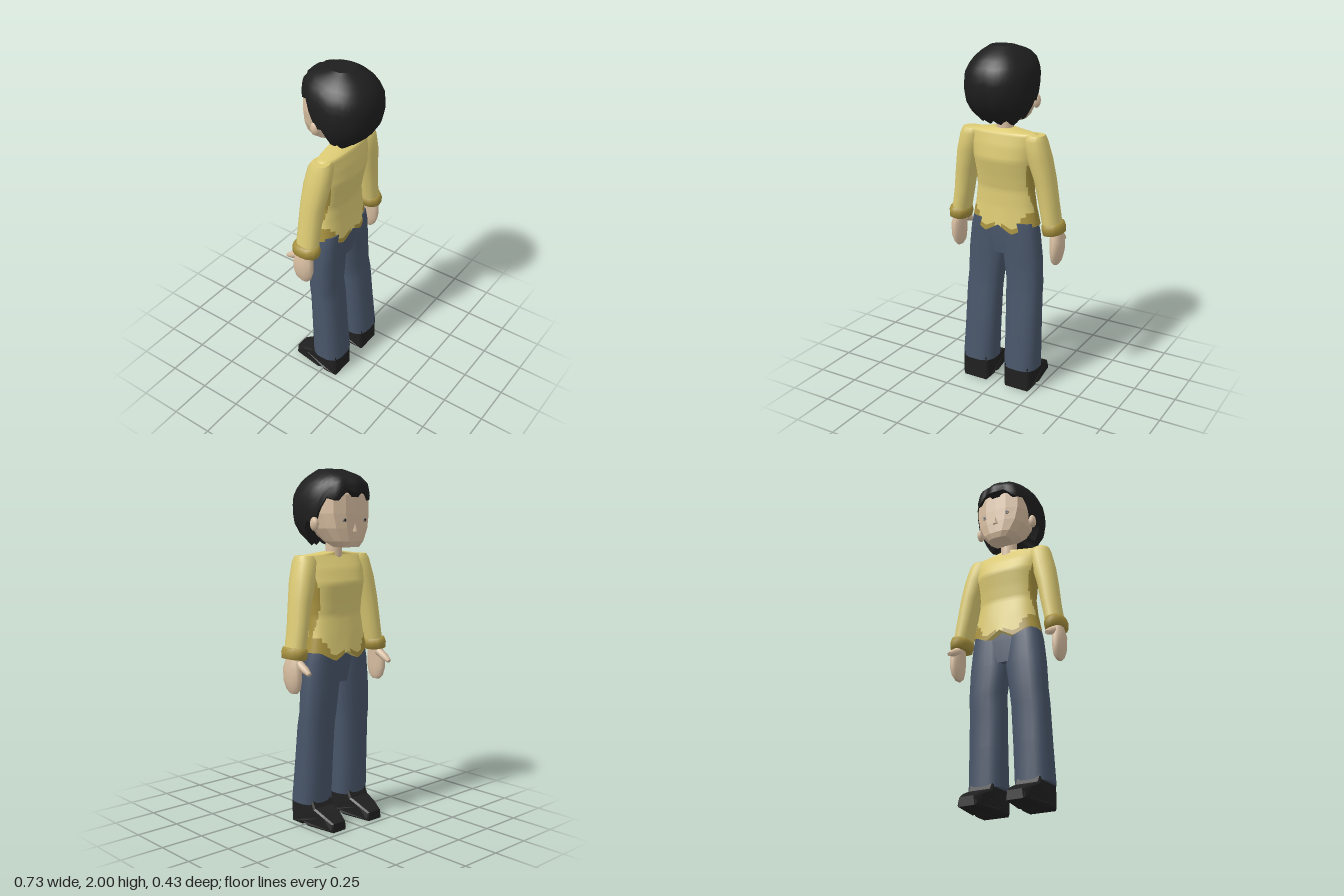
import * as THREE from 'three';

const mat = (name, color, side = THREE.FrontSide) => {
  const m = new THREE.MeshStandardMaterial({ color, side });
  m.name = name;
  return m;
};

// closed tube of rows x cols; point(a, row) gives the surface, pick chooses a material slot per quad
function skin(cols, rows, point, { pick = () => 0, caps = true, flat = false } = {}) {
  const pos = [], index = [[], []], grid = [];
  const add = (p) => pos.push(p.x, p.y, p.z) / 3 - 1;
  for (let r = 0; r < rows; r++) {
    grid.push([]);
    for (let c = 0; c < cols; c++) grid[r].push(point((c / cols) * Math.PI * 2, r));
  }
  grid.forEach((row) => row.forEach(add));
  for (let r = 0; r < rows - 1; r++) {
    for (let c = 0; c < cols; c++) {
      const d = (c + 1) % cols;
      const mid = grid[r][c].clone().add(grid[r + 1][d]).multiplyScalar(0.5);
      const i = r * cols + c, j = r * cols + d;
      index[pick(mid, ((c + 0.5) / cols) * Math.PI * 2)].push(i, j, j + cols, i, j + cols, i + cols);
    }
  }
  if (caps) {
    [0, rows - 1].forEach((r) => {
      const centre = grid[r].reduce((s, p) => s.add(p), new THREE.Vector3()).divideScalar(cols);
      const m = add(centre), ring = grid[r].map(add);
      ring.forEach((v, c) => {
        const w = ring[(c + 1) % cols];
        index[0].push(m, ...(r ? [v, w] : [w, v]));
      });
    });
  }
  const g = new THREE.BufferGeometry();
  g.setAttribute('position', new THREE.Float32BufferAttribute(pos, 3));
  g.setIndex([...index[0], ...index[1]]);
  if (index[1].length) {
    g.addGroup(0, index[0].length, 0);
    g.addGroup(index[0].length, index[1].length, 1);
  }
  const out = flat ? g.toNonIndexed() : g;
  out.computeVertexNormals();
  return out;
}

// rounded-square cross-section; ring = [y, centre x, half width, back z, front z]
function section([y, cx, rx, zb, zf], a, power) {
  const s = Math.sin(a), c = Math.cos(a);
  const k = (Math.abs(s) ** power + Math.abs(c) ** power) ** (-1 / power);
  return new THREE.Vector3(cx + rx * s * k, y, (zb + zf) / 2 + ((zb - zf) / 2) * c * k);
}

const mixRings = (p, q, t) => p.map((v, i) => v + (q[i] - v) * t);

function loft(rings, cols, { power = 2.4, steps = 1, warp = (v) => v, ...opts } = {}) {
  const rows = (rings.length - 1) * steps + 1;
  return skin(cols, rows, (a, r) => {
    const i = Math.min(Math.floor(r / steps), rings.length - 2);
    return warp(section(mixRings(rings[i], rings[i + 1], r / steps - i), a, power), a);
  }, opts);
}

// piecewise linear lookup in [key, value] pairs
function lookup(keys, x) {
  let i = 0;
  while (i < keys.length - 2 && x > keys[i + 1][0]) i++;
  const [[x0, v0], [x1, v1]] = [keys[i], keys[i + 1]];
  return v0 + (v1 - v0) * THREE.MathUtils.clamp((x - x0) / (x1 - x0), 0, 1);
}

// hair shell whose lower edge rises from nape to fringe, with uneven locks
function hairGeometry() {
  const profile = [
    [1.58, 0, 0.12, 0.09, -0.1], [1.65, 0, 0.17, 0.17, -0.13], [1.7, 0, 0.19, 0.2, -0.15],
    [1.78, 0, 0.2, 0.218, -0.175], [1.86, 0, 0.195, 0.215, -0.198], [1.92, 0, 0.17, 0.185, -0.2],
    [1.965, 0, 0.125, 0.135, -0.16], [2, 0, 0.07, 0.07, -0.05]];
  const edge = [[0, 1.6], [1, 1.6], [1.4, 1.64], [1.65, 1.7], [2, 1.74], [2.25, 1.83], [2.6, 1.86], [3.14, 1.89]];
  const cols = 44, rows = 11;
  return skin(cols, rows, (a, r) => {
    const b = Math.min(a, Math.PI * 2 - a), lock = Math.round((b / Math.PI) * 22) % 4;
    const low = lookup(edge, b) + [0.015, -0.012, -0.018, 0][lock];
    const t = r / (rows - 1), y = low + (2 - low) * (1 - (1 - t) ** 1.5);
    let i = 0;
    while (i < profile.length - 2 && y > profile[i + 1][0]) i++;
    const [p, q] = [profile[i], profile[i + 1]];
    const v = section(mixRings(p, q, (y - p[0]) / (q[0] - p[0])), a, 2.25);
    // fringe locks stand out from the forehead
    if (b > 2.1) v.z -= (1 - t) * [-0.006, 0.012, 0.012, 0][lock];
    return v;
  }, { flat: false });
}

export function createModel() {
  const model = new THREE.Group();
  const yellow = mat('sweater yellow', 0xdccb74);
  const ochre = mat('sweater dark yellow', 0xa8923f);
  const flesh = mat('skin', 0xd9bfa2);
  const black = mat('hair black', 0x1e1e1e, THREE.DoubleSide);
  const denim = mat('trouser blue', 0x485569);
  const leather = mat('shoe black', 0x202020);
  const grey = mat('eye grey', 0x8f8a84);
  const dark = mat('pupil dark', 0x1a1a1a);
  const part = (name, geometry, material, parent = model) => {
    const m = new THREE.Mesh(geometry, material);
    m.name = name;
    parent.add(m);
    return m;
  };

  // sweater body with zigzag hem, dark hem band and dark underarm panels
  const hemDip = (a) => -0.05 * Math.max(0, 1 - Math.abs(Math.abs(Math.sin(a)) - 0.4) / 0.4);
  part('sweaterBody', loft([
    [1, 0, 0.208, 0.07, -0.132], [1.1, 0, 0.188, 0.058, -0.118], [1.2, 0, 0.175, 0.055, -0.105],
    [1.28, 0, 0.18, 0.07, -0.115], [1.38, 0, 0.192, 0.092, -0.132], [1.46, 0, 0.205, 0.082, -0.1],
    [1.532, 0, 0.215, 0.065, -0.055], [1.55, 0, 0.06, 0.035, -0.055]], 64, {
    steps: 5,
    warp: (v, a) => {
      if (v.y < 1.1) v.y += hemDip(a) * (1.1 - v.y) * 10;
      return v;
    },
    pick: (p, a) => {
      const side = Math.abs(Math.sin(a));
      const band = p.y < 0.995 + 0.085 * THREE.MathUtils.smoothstep(Math.abs(p.x), 0.09, 0.18);
      return band || (side > 0.8 + Math.abs(p.y - 1.3) * 0.9 && p.y < 1.42) ? 1 : 0;
    },
  }), [yellow, ochre]);

  // trousers: shared hips, then one flared leg per side
  part('hips', loft([[0.82, 0, 0.222, 0.045, -0.09], [0.95, 0, 0.208, 0.055, -0.1],
    [1.04, 0, 0.185, 0.045, -0.095]], 24, { power: 3 }), denim);

  const shoeShape = new THREE.Shape([[-0.09, 0.01], [-0.02, 0.01], [-0.005, 0.025], [0.03, 0.01], [0.205, 0.01],
    [0.205, 0.045], [0.15, 0.075], [0.08, 0.105], [0.06, 0.14], [-0.09, 0.14]]
    .map(([x, y]) => new THREE.Vector2(x, y)));

  for (const s of [1, -1]) {
    const side = s > 0 ? 'left' : 'right';
    const at = (rings) => rings.map(([y, x, ...rest]) => [y, x * s, ...rest]);

    part(side + 'TrouserLeg', loft(at([
      [0.13, 0.14, 0.105, 0.115, -0.075], [0.35, 0.136, 0.104, 0.092, -0.082], [0.57, 0.131, 0.105, 0.072, -0.09],
      [0.65, 0.128, 0.106, 0.057, -0.1], [0.81, 0.113, 0.114, 0.057, -0.103], [0.95, 0.108, 0.103, 0.058, -0.103],
      [1.02, 0.1, 0.095, 0.055, -0.1]]), 16, { power: 3 }), denim);

    // shoe with heel notch and tapered toe
    const shoe = new THREE.ExtrudeGeometry(shoeShape, {
      depth: 0.148, bevelEnabled: true, bevelThickness: 0.011, bevelSize: 0.01, bevelSegments: 1 });
    shoe.translate(0, 0, -0.074).rotateY(Math.PI / 2);
    const p = shoe.attributes.position;
    for (let i = 0; i < p.count; i++) {
      const toe = THREE.MathUtils.clamp((-0.12 - p.getZ(i)) / 0.095, 0, 1);
      p.setX(i, p.getX(i) * (1 - 0.36 * toe) * (p.getY(i) > 0.04 && p.getZ(i) < -0.03 ? 0.88 : 1));
    }
    shoe.computeVertexNormals();
    part(side + 'Shoe', shoe, leather).position.x = 0.14 * s;

    // sleeve, turned cuff, mitten-shaped hand and thumb
    part(side + 'Sleeve', loft(at([
      [1.02, 0.297, 0.05, 0.04, -0.092], [1.15, 0.274, 0.053, 0.042, -0.09], [1.28, 0.253, 0.058, 0.052, -0.085],
      [1.4, 0.224, 0.066, 0.07, -0.08], [1.5, 0.2, 0.064, 0.072, -0.065], [1.532, 0.2, 0.052, 0.055, -0.045]]), 14), yellow);
    const cuff = part(side + 'Cuff', loft([
      [-0.032, 0, 0.04, 0.06, -0.06], [-0.03, 0, 0.057, 0.078, -0.078], [0.004, 0, 0.062, 0.082, -0.082],
      [0.03, 0, 0.056, 0.076, -0.076], [0.032, 0, 0.04, 0.06, -0.06]], 12), ochre);
    cuff.position.set(0.304 * s, 1.006, -0.028);
    cuff.rotation.z = 0.12 * s;
    part(side + 'Hand', loft(at([
      [0.788, 0.32, 0.012, -0.012, -0.065], [0.81, 0.321, 0.024, 0.01, -0.088], [0.86, 0.325, 0.032, 0.027, -0.1],
      [0.93, 0.325, 0.035, 0.028, -0.098], [0.99, 0.315, 0.03, 0.008, -0.075]]), 10), flesh);
    const thumb = part(side + 'Thumb', loft([
      [0, 0, 0.024, 0.022, -0.022], [0.06, 0, 0.022, 0.02, -0.02], [0.1, 0, 0.013, 0.011, -0.011]], 8), flesh);
    thumb.position.set(0.308 * s, 0.955, -0.07);
    thumb.rotation.x = -2.08;

    // ear and eye
    const ear = part(side + 'Ear', new THREE.SphereGeometry(1, 8, 6), flesh);
    ear.scale.set(0.022, 0.04, 0.028);
    ear.position.set(0.175 * s, 1.705, -0.05);
    const eye = new THREE.Group();
    eye.name = side + 'Eye';
    eye.position.set(0.075 * s, 1.725, -0.182);
    model.add(eye);
    part('eyeball', new THREE.CylinderGeometry(0.011, 0.011, 0.008, 10).rotateX(Math.PI / 2), grey, eye);
    part('pupil', new THREE.CylinderGeometry(0.006, 0.006, 0.008, 8).rotateX(Math.PI / 2), dark, eye).position.z = -0.002;
  }

  // neck, faceted head, nose and hair
  part('neck', new THREE.CylinderGeometry(0.046, 0.05, 0.14, 12).translate(0, 1.57, -0.015), flesh);
  part('head', loft([
    [1.578, 0, 0.065, -0.06, -0.172], [1.61, 0, 0.1, 0.0, -0.183], [1.68, 0, 0.142, 0.08, -0.185],
    [1.76, 0, 0.16, 0.13, -0.185], [1.86, 0, 0.16, 0.14, -0.182], [1.93, 0, 0.11, 0.09, -0.13]], 16,
  { power: 3.6, flat: true }), flesh);
  const nose = part('nose', new THREE.ConeGeometry(0.017, 0.05, 4), flesh);
  nose.position.set(0, 1.688, -0.185);
  part('hair', hairGeometry(), black);
  return model;
}
